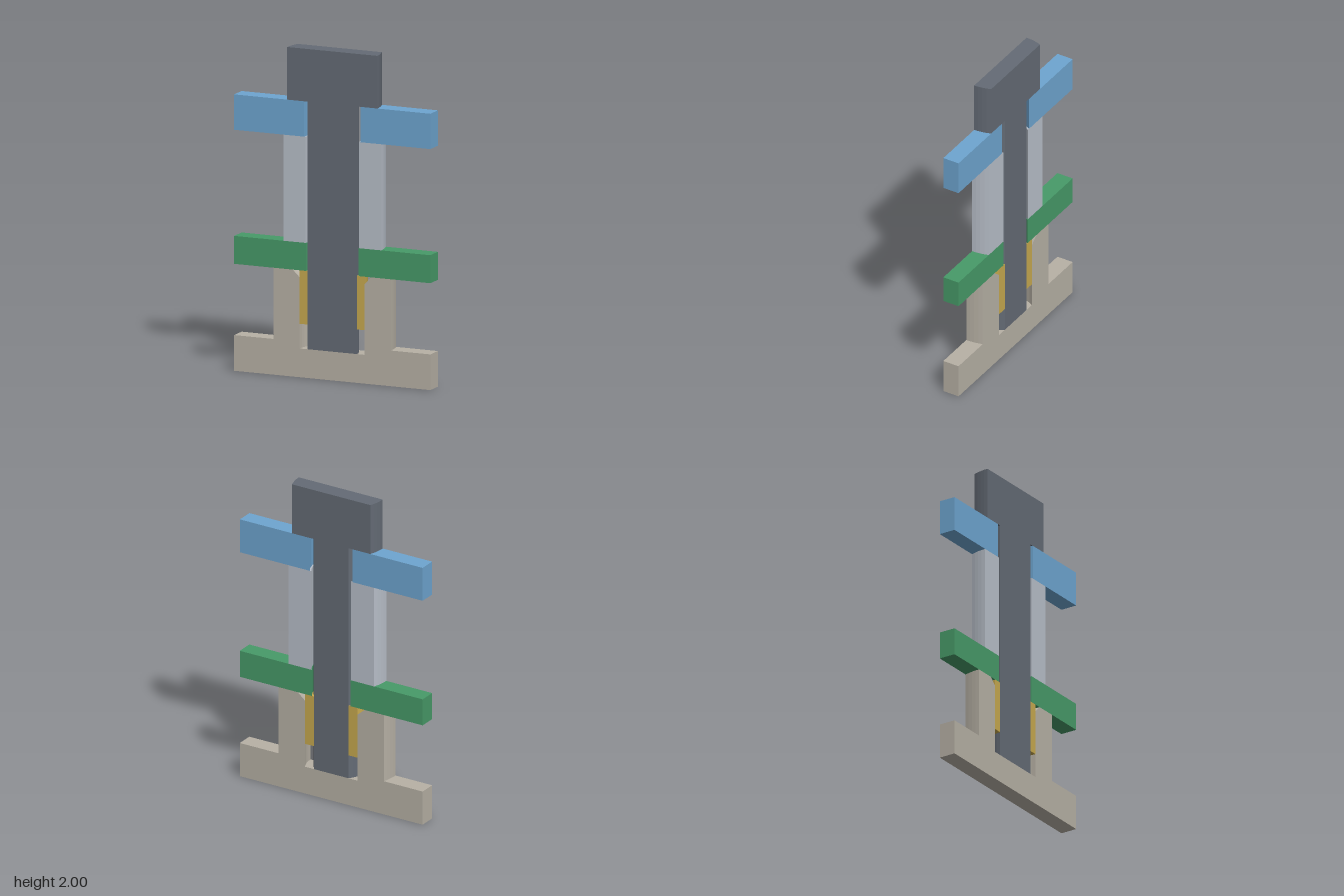
import * as THREE from 'three';

const DEPTH = 0.106; // thickness of the section; the bolt axis lies in its front face
const STEPS = 4;
const HALF = 0.643; // half width of the plates

// x of a round surface at depth d behind the axis
const arcX = (r, d) => Math.sqrt(r * r - d * d);

// Edge running from front to back: an arc of radius r, or a straight side
function edge(r, round) {
  return Array.from({ length: STEPS + 1 }, (_, i) => {
    const d = (DEPTH * i) / STEPS;
    return new THREE.Vector2(round ? arcX(r, d) : r, d);
  });
}

const mirrored = (pts) => pts.map((p) => new THREE.Vector2(-p.x, p.y));

// Extrude a plan outline from y0 to y1
function extrude(points, y0, y1) {
  return new THREE.ExtrudeGeometry(new THREE.Shape(points), { depth: y1 - y0, bevelEnabled: false });
}

// Stand the extrusion up and place it
function stand(geo, y0) {
  return geo.rotateX(-Math.PI / 2).translate(0, y0, DEPTH / 2);
}

function solid(r, round, y0, y1) {
  const right = edge(r, round);
  return stand(extrude([...right, ...mirrored(right).reverse()], y0, y1), y0);
}

// One half beside a round hole; topHole widens the hole towards the top
function half(side, outer, round, hole, y0, y1, topHole = hole) {
  let pts = [...edge(outer, round), ...edge(hole, true).reverse()];
  if (side < 0) pts = mirrored(pts);
  const geo = extrude(pts, y0, y1);
  if (topHole !== hole) {
    const p = geo.attributes.position;
    for (let i = 0; i < p.count; i++) {
      const onHole = Math.abs(Math.hypot(p.getX(i), p.getY(i)) - hole) < 1e-4;
      if (onHole && p.getZ(i) > (y1 - y0) / 2) p.setX(i, side * arcX(topHole, p.getY(i)));
    }
    geo.computeVertexNormals();
  }
  return stand(geo, y0);
}

export function createModel() {
  const model = new THREE.Group();

  function part(name, color) {
    const group = new THREE.Group();
    group.name = name;
    model.add(group);
    const material = new THREE.MeshStandardMaterial({ color });
    const add = (label, geo) => {
      const mesh = new THREE.Mesh(geo, material);
      mesh.name = label;
      group.add(mesh);
    };
    return {
      solid: (label, ...a) => add(label, solid(...a)),
      halves: (label, ...a) => {
        add(label + 'Left', half(1, ...a));
        add(label + 'Right', half(-1, ...a));
      },
    };
  }

  // Bolt with a round head
  const bolt = part('bolt', 0x646b75);
  bolt.solid('shank', 0.161, true, 0.175, 1.68);
  bolt.solid('head', 0.295, true, 1.68, 2);

  // Upper plate, spacer tube and lower plate with clearance holes
  part('upperPlate', 0x6ea5d0).halves('upperPlate', HALF, false, 0.184, 1.465, 1.68);
  part('spacer', 0xb8bfc9).halves('spacer', 0.32, true, 0.174, 0.82, 1.465);
  part('lowerPlate', 0x479a68).halves('lowerPlate', HALF, false, 0.171, 0.65, 0.82);

  // Threaded insert around the bolt end
  part('insert', 0xc7a94f).halves('insert', 0.213, true, 0.161, 0.325, 0.65);

  // Base with a blind-bored boss, chamfered at the mouth
  const base = part('base', 0xb7b1a5);
  base.solid('floor', HALF, false, 0, 0.175);
  base.halves('flange', HALF, false, 0.213, 0.175, 0.217);
  base.halves('boss', 0.385, true, 0.213, 0.217, 0.607);
  base.halves('chamferedMouth', 0.385, true, 0.213, 0.607, 0.65, 0.258);

  return model;
}
